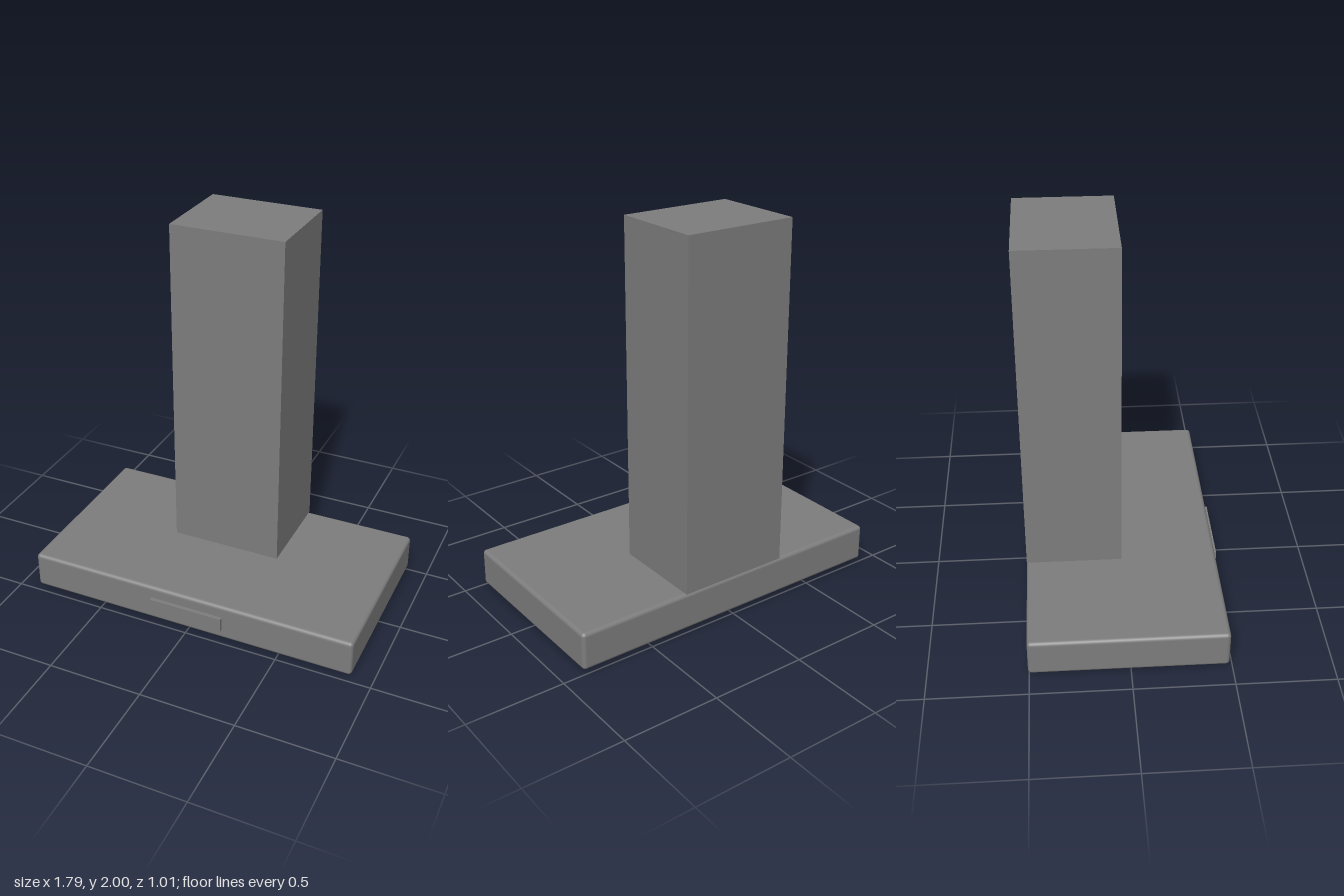
import * as THREE from 'three';
import { RoundedBoxGeometry } from 'three/addons/geometries/RoundedBoxGeometry.js';

const material = new THREE.MeshStandardMaterial({ color: 0x7d7d7d });

function addPart(group, name, geometry, x, y, z) {
  const mesh = new THREE.Mesh(geometry, material);
  mesh.name = name;
  mesh.position.set(x, y, z);
  group.add(mesh);
  return mesh;
}

export function createModel() {
  const group = new THREE.Group();
  group.name = 'cookerHood';

  // Wide hood body with softly rounded edges
  addPart(group, 'hoodBody', new RoundedBoxGeometry(1.786, 0.198, 0.99, 4, 0.02), 0, 0.121, -0.01);

  // Chimney duct, flush with the back
  addPart(group, 'chimney', new THREE.BoxGeometry(0.595, 1.78, 0.495), 0, 1.11, -0.2575);

  // Control panel standing proud of the front
  addPart(group, 'controlPanel', new THREE.BoxGeometry(0.4, 0.075, 0.04), 0, 0.117, 0.485);

  // Lamps bulging from the underside
  for (const side of [-1, 1]) {
    addPart(group, side > 0 ? 'leftLamp' : 'rightLamp',
      new THREE.SphereGeometry(0.04, 24, 16), side * 0.595, 0.04, 0.29);
  }

  return group;
}
